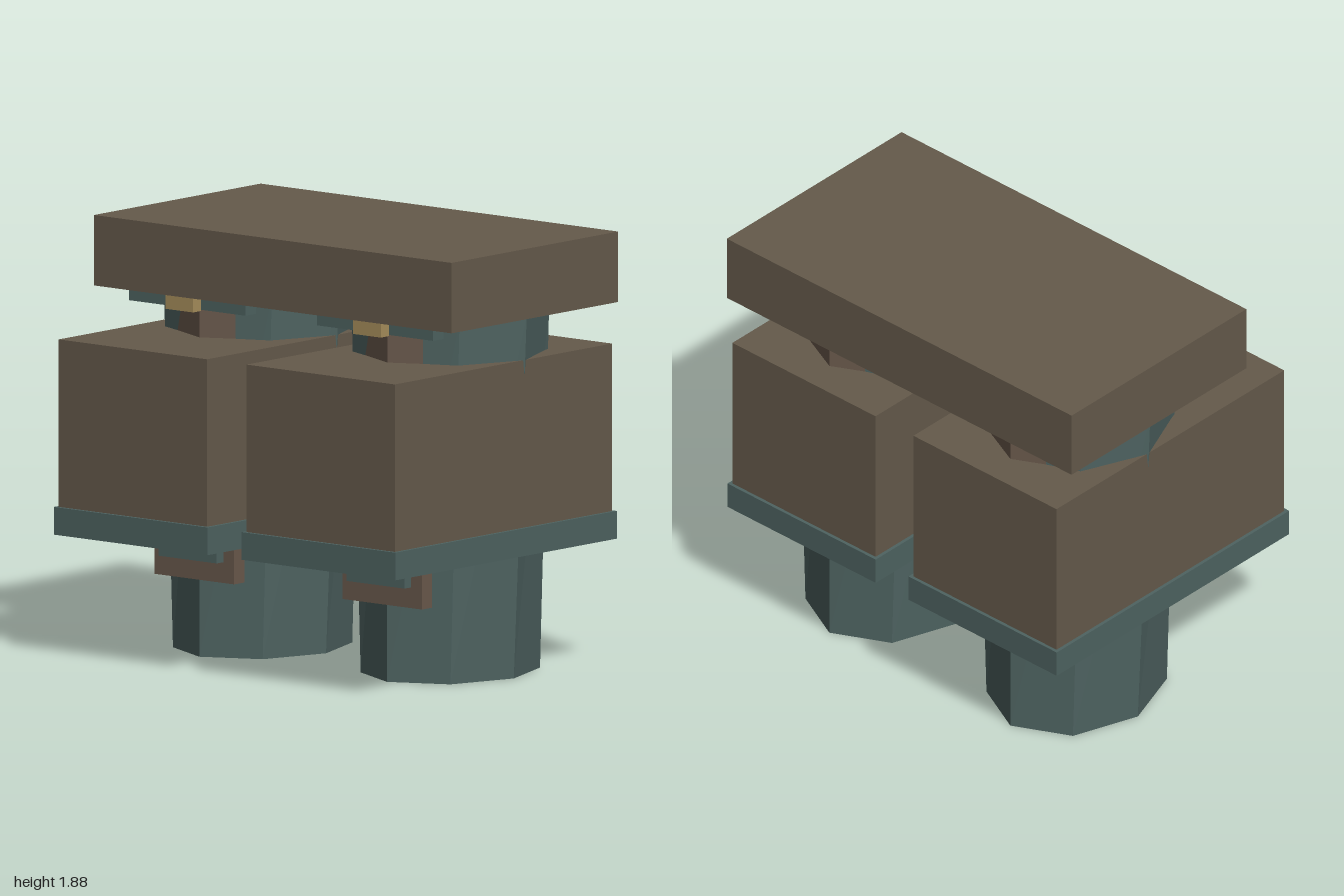
import * as THREE from 'three';

const material = (name, color) => {
  const m = new THREE.MeshStandardMaterial({ color });
  m.name = name;
  m.flatShading = true;
  return m;
};

export function createModel() {
  const brown = material('weathered brown', 0x655a4b);
  const rust = material('warm brown', 0x6a594c);
  const teal = material('dull teal', 0x4e6361);
  const gold = material('aged gold', 0xa68e5b);

  const model = new THREE.Group();
  model.name = 'model';

  const add = (parent, name, geometry, mat, x = 0, y = 0, z = 0) => {
    const mesh = new THREE.Mesh(geometry, mat);
    mesh.name = name;
    mesh.position.set(x, y, z);
    parent.add(mesh);
    return mesh;
  };

  // Box given by its width and its y and z limits
  const slab = (parent, name, mat, width, y0, y1, z0, z1) =>
    add(parent, name, new THREE.BoxGeometry(width, y1 - y0, z1 - z0), mat, 0, (y0 + y1) / 2, (z0 + z1) / 2);

  // Eight-sided column: width tapers, depth stays constant
  const column = (topX, bottomX, depthRadius, height) => {
    const g = new THREE.CylinderGeometry(topX, bottomX, height, 8);
    const p = g.attributes.position;
    for (let i = 0; i < p.count; i++) {
      const r = Math.hypot(p.getX(i), p.getZ(i));
      if (r > 0.001) p.setZ(i, (p.getZ(i) * depthRadius) / r);
    }
    g.computeVertexNormals();
    return g;
  };

  // Two identical pillars
  for (const side of [-1, 1]) {
    const pillar = new THREE.Group();
    pillar.name = side > 0 ? 'leftPillar' : 'rightPillar';
    pillar.position.x = side * 0.525;
    model.add(pillar);

    add(pillar, 'leg', column(0.427, 0.355, 0.42, 1.575), teal, 0, 0.7875, -0.14);
    add(pillar, 'neckSleeve', column(0.373, 0.373, 0.43, 0.575), rust, 0, 1.2875, -0.14).rotation.y = 0.0225;
    slab(pillar, 'block', brown, 0.83, 0.66, 1.385, -0.72, 0.72);
    slab(pillar, 'collar', teal, 0.86, 0.54, 0.66, -0.735, 0.735);

    // Front trim above and below the block
    slab(pillar, 'upperTrim', teal, 0.65, 1.52, 1.6, 0.29, 0.36);
    slab(pillar, 'upperStud', gold, 0.155, 1.515, 1.6, 0.36, 0.413);
    slab(pillar, 'lowerBracket', rust, 0.445, 0.34, 0.56, 0.245, 0.312);
    slab(pillar, 'lowerPlate', teal, 0.325, 0.43, 0.56, 0.312, 0.357);
  }

  // Slab resting on both pillars
  slab(model, 'topSlab', brown, 2, 1.575, 1.88, -0.69, 0.415);

  // Ring and pointed finial between the blocks
  add(model, 'ring', new THREE.TorusGeometry(0.182, 0.035, 6, 16), gold, 0, 0.99, 0);
  slab(model, 'finialBase', teal, 0.15, 1.15, 1.21, -0.075, 0.075);
  const tip = new THREE.ConeGeometry(0.085 * Math.SQRT2, 0.12, 4);
  tip.rotateY(Math.PI / 4);
  add(model, 'finialTip', tip, gold, 0, 1.27, 0);

  return model;
}
